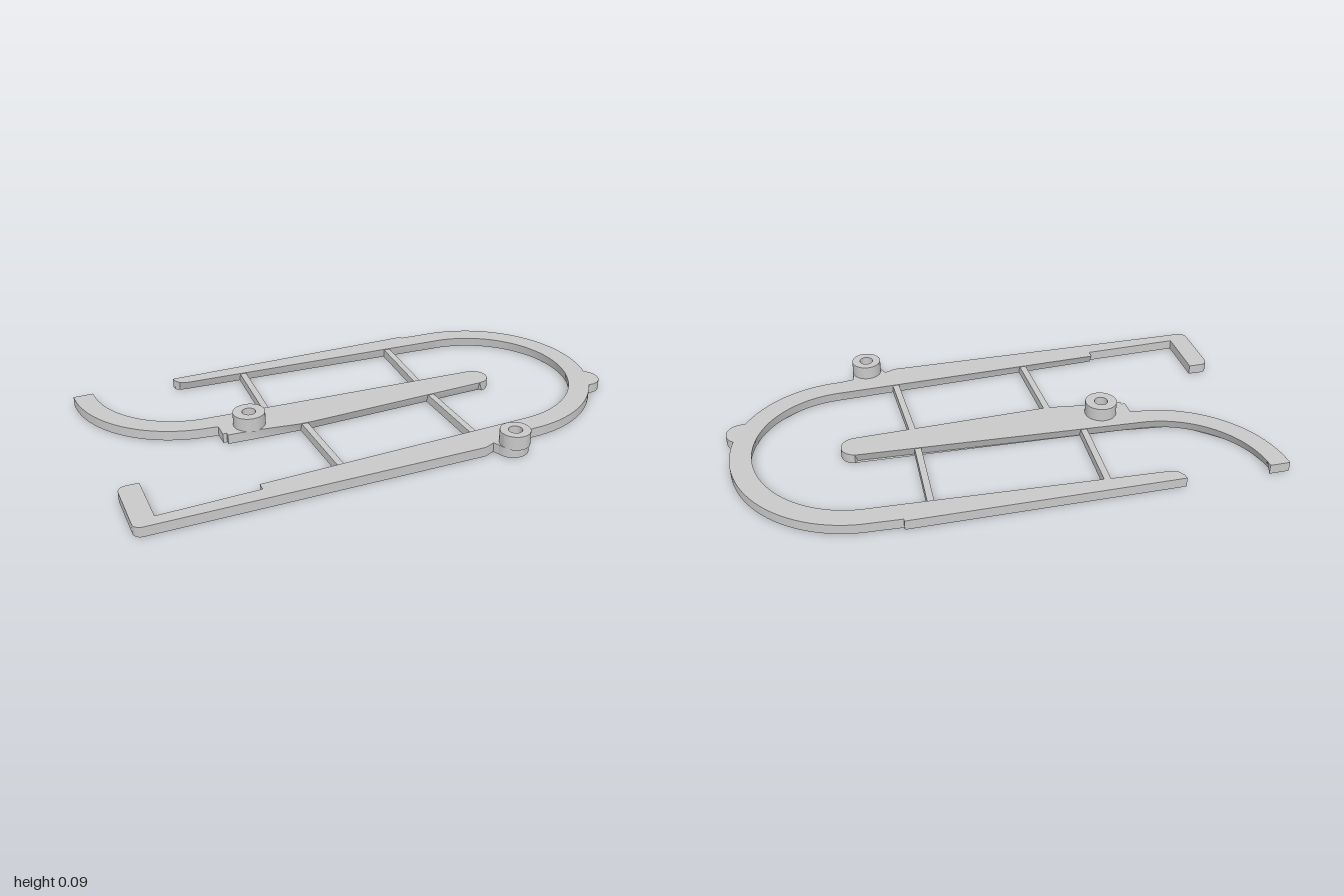
import * as THREE from 'three';
import { toCreasedNormals } from 'three/addons/utils/BufferGeometryUtils.js';

const H = 0.038;      // plate thickness
const PIN = 0.011;    // pin hole radius
const PIN_SIDES = 12;
const grey = new THREE.MeshStandardMaterial({ color: 0xc8c8c8 });
grey.name = 'lightGrey';

// Points along an arc in plan (x, z); angles in degrees
function arc(cx, cz, r, a0, a1, n, r2 = r) {
  return Array.from({ length: n + 1 }, (_, i) => {
    const a = THREE.MathUtils.degToRad(a0 + (a1 - a0) * i / n);
    const c = Math.cos(a), s = Math.sin(a);
    return [cx + r * c, cz + r * s, cx + r2 * c, cz + r2 * s];
  });
}

function add(group, name, geometry, crease = 0.6) {
  const mesh = new THREE.Mesh(toCreasedNormals(geometry, crease), grey);
  mesh.name = name;
  group.add(mesh);
  return mesh;
}

// Flat plate: each point is [x, z] at the top and optionally [.., x, z] at the bottom
function plate(group, name, points, pins) {
  const shape = new THREE.Shape(points.map(p => new THREE.Vector2(p[0], p[1])));
  for (const [x, z] of pins) {
    const hole = arc(x, z, PIN, 0, 360, PIN_SIDES).slice(0, -1);
    shape.holes.push(new THREE.Path(hole.map(p => new THREE.Vector2(p[0], p[1]))));
  }
  const geo = new THREE.ExtrudeGeometry(shape, { depth: H, bevelEnabled: false });
  geo.rotateX(Math.PI / 2).translate(0, H, 0);
  // Undercut: move the lower corners to their own outline
  const pos = geo.attributes.position;
  for (let i = 0; i < pos.count; i++) {
    if (pos.getY(i) > H / 2) continue;
    const p = points.find(q => Math.hypot(q[0] - pos.getX(i), q[1] - pos.getZ(i)) < 1e-4);
    if (p && p.length === 4) pos.setXYZ(i, p[2], 0, p[3]);
  }
  add(group, name, geo);
  // Solid upper part closes each pin hole
  for (const [x, z] of pins) {
    const plug = new THREE.CylinderGeometry(PIN, PIN, H / 2, PIN_SIDES);
    add(group, 'pinHoleEnd', plug).position.set(x, H * 0.75, z);
  }
}

// Round lug of plate thickness
function lug(group, name, x, z, r) {
  add(group, name, new THREE.CylinderGeometry(r, r, H, 40)).position.set(x, H / 2, z);
}

// Raised round boss with a blind bore
function boss(group, name, x, z, r) {
  const bore = 0.026, top = 0.09, floor = 0.045;
  const profile = [[r, H - 0.003], [r, top], [bore, top], [bore, floor], [0, floor]];
  const geo = new THREE.LatheGeometry(profile.map(p => new THREE.Vector2(...p)), 40);
  add(group, name, geo).position.set(x, 0, z);
}

// Thin rib between two plan points
function rib(group, x0, z0, x1, z1) {
  const geo = new THREE.BoxGeometry(0.025, 0.034, Math.hypot(x1 - x0, z1 - z0));
  const mesh = add(group, 'rib', geo);
  mesh.position.set((x0 + x1) / 2, 0.018, (z0 + z1) / 2);
  mesh.rotation.y = Math.atan2(x1 - x0, z1 - z0);
}

export function createModel() {
  const model = new THREE.Group();
  model.name = 'trackPlate';

  // Outer rail: back rail, round end, front rail and end tab
  const cx = 0.535, cz = -0.05;
  plate(model, 'outerRail', [
    [-0.6, -0.525], [0.427, -0.525], [0.427, -0.514],
    ...arc(cx, cz, 0.459, -90, 90, 48),
    [0.478, 0.418], [0.472, 0.46], [0.357, 0.475], [0.342, 0.443], [0.3, 0.46],
    ...arc(-0.955, 0.43, 0.03, 90, 180, 6),
    ...arc(-0.955, 0.225, 0.03, 180, 270, 6),
    [-0.905, 0.195], [-0.905, 0.412], [-0.53, 0.4],
    [-0.53, 0.368, -0.53, 0.388],
    ...arc(cx, cz, 0.378, 90, -90, 48, 0.384),
    [-0.55, -0.471, -0.55, -0.489],
    [-0.583, -0.482, -0.583, -0.493], [-0.597, -0.505],
  ], [
    [-0.945, 0.24], [-0.63, 0.435], [-0.16, 0.42], [0.89, -0.27],
  ]);
  lug(model, 'sideLug', 0.939, 0.132, 0.061);
  lug(model, 'frontLug', 0.413, 0.453, 0.062);

  // Centre strut running into the curved arm
  plate(model, 'centreStrut', [
    [-1, -0.525], [-0.923, -0.525],
    ...arc(-0.55, -0.525, 0.373, 176, 90, 28, 0.388),
    [0.53, -0.108, 0.53, -0.092],
    ...arc(0.532, -0.053, 0.054, -80, 80, 16),
    [0.53, 0.002, 0.53, -0.012],
    [-0.2, 0.031, -0.2, 0.014], [-0.26, 0.03, -0.26, 0.014],
    [-0.43, 0.008], [-0.53, 0.003], [-0.53, -0.012], [-0.545, -0.012],
    [-0.545, -0.071],
    ...arc(-0.55, -0.525, 0.45, 94, 178, 28),
  ], [
    [-0.96, -0.48], [-0.905, -0.315], [-0.72, -0.149], [-0.5, -0.035],
    [-0.24, -0.05], [0.22, -0.05],
  ]);

  // Bosses
  boss(model, 'strutBoss', -0.43, -0.048, 0.061);
  boss(model, 'frontBoss', 0.415, 0.467, 0.057);

  // Connecting ribs
  rib(model, -0.32, -0.48, -0.335, -0.1);
  rib(model, 0.32, -0.46, 0.305, -0.08);
  rib(model, -0.237, 0, -0.224, 0.385);
  rib(model, 0.304, -0.03, 0.316, 0.36);

  return model;
}
